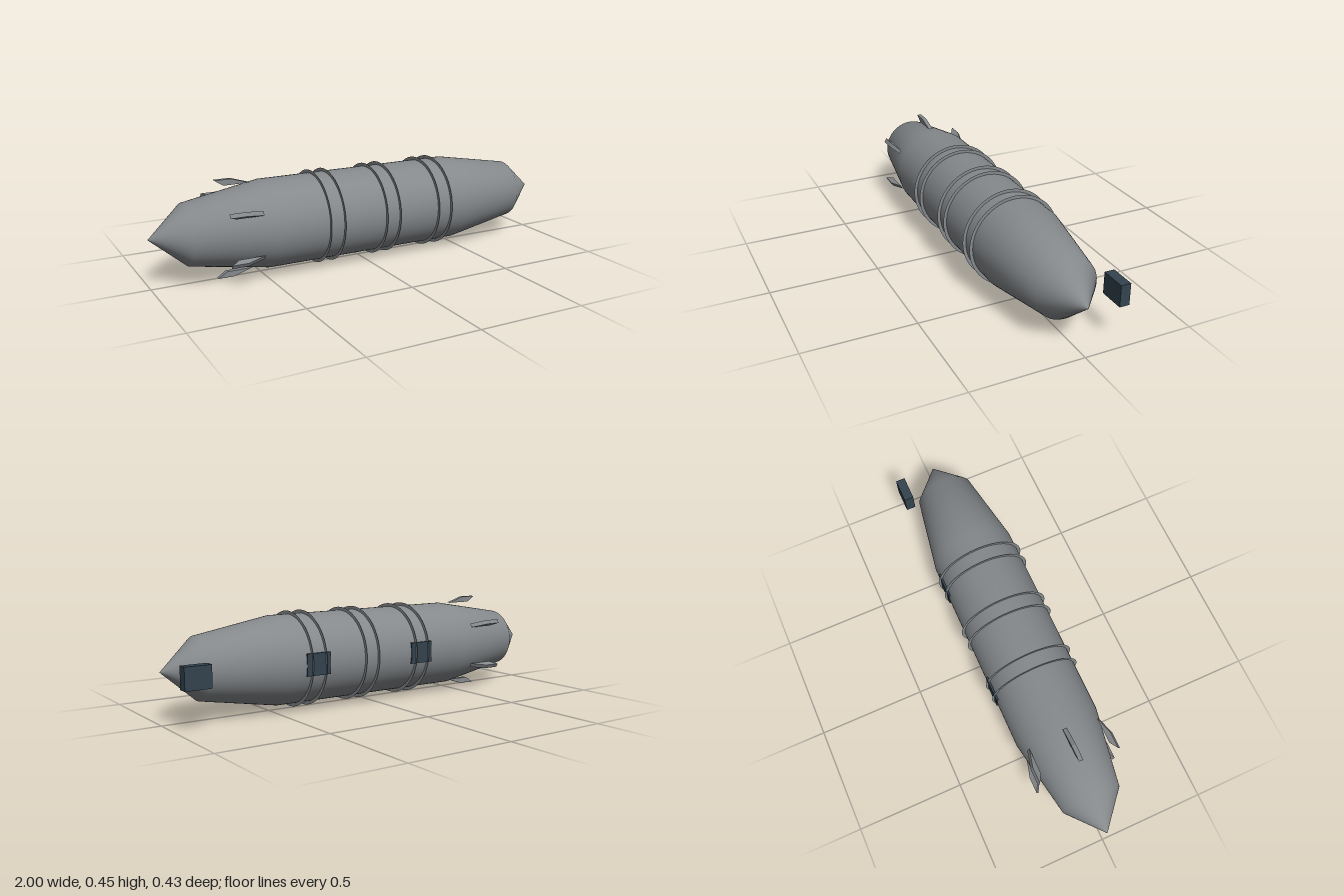
import * as THREE from 'three';

export function createModel() {
  const model = new THREE.Group();
  const hull = new THREE.MeshStandardMaterial({ color: 0x85898c, side: THREE.DoubleSide });
  const panel = new THREE.MeshStandardMaterial({ color: 0x33434f });
  hull.name = 'hull grey';
  panel.name = 'panel slate';

  const body = new THREE.Group();
  body.name = 'body';
  body.position.y = 0.2235;
  model.add(body);

  const add = (name, geometry, material) => {
    const mesh = new THREE.Mesh(geometry, material);
    mesh.name = name;
    body.add(mesh);
    return mesh;
  };

  // Profiles are [x, radius] pairs of rising x, turned around the x axis
  const turned = (profile) =>
    new THREE.LatheGeometry(profile.map(([x, r]) => new THREE.Vector2(r, x)), 64).rotateZ(-Math.PI / 2);

  // Smooth closed hull, tapered and pointed at both ends
  add('hull', turned([
    [-1, 0], [-0.84, 0.138], [-0.48, 0.2], [0.48, 0.2], [0.84, 0.138], [1, 0],
  ]), hull);

  // Rounded bulkhead inside the nose
  const dome = [];
  for (let i = 0; i <= 16; i++) {
    const a = (i / 16) * Math.PI / 2;
    dome.push([0.48 + 0.19 * Math.sin(a), 0.19 * Math.cos(a)]);
  }
  add('noseBulkhead', turned(dome), hull);

  // Three pairs of flat hoops around the barrel
  for (const x of [-0.205, 0.08, 0.36]) {
    for (const dx of [-0.035, 0.035]) {
      const hoop = add('hoop', new THREE.RingGeometry(0.195, 0.215, 64), hull);
      hoop.rotation.y = Math.PI / 2;
      hoop.position.x = x + dx;
    }
  }

  // Six swept fins around the tail
  const outline = new THREE.Shape([
    [-0.7, 0.2235], [-0.66, 0.197], [-0.54, 0.197], [-0.625, 0.2235],
  ].map(([x, y]) => new THREE.Vector2(x, y)));
  const finGeometry = new THREE.ExtrudeGeometry(outline, { depth: 0.02, bevelEnabled: false });
  finGeometry.translate(0, 0, -0.01);
  for (let i = 0; i < 6; i++) {
    add('fin', finGeometry, hull).rotation.x = (i * Math.PI) / 3;
  }

  // Mounting blocks along the back
  for (const x of [-0.205, 0.36, 0.92]) {
    add('mountingBlock', new THREE.BoxGeometry(0.118, 0.098, 0.045), panel).position.set(x, 0, -0.1805);
  }

  return model;
}
